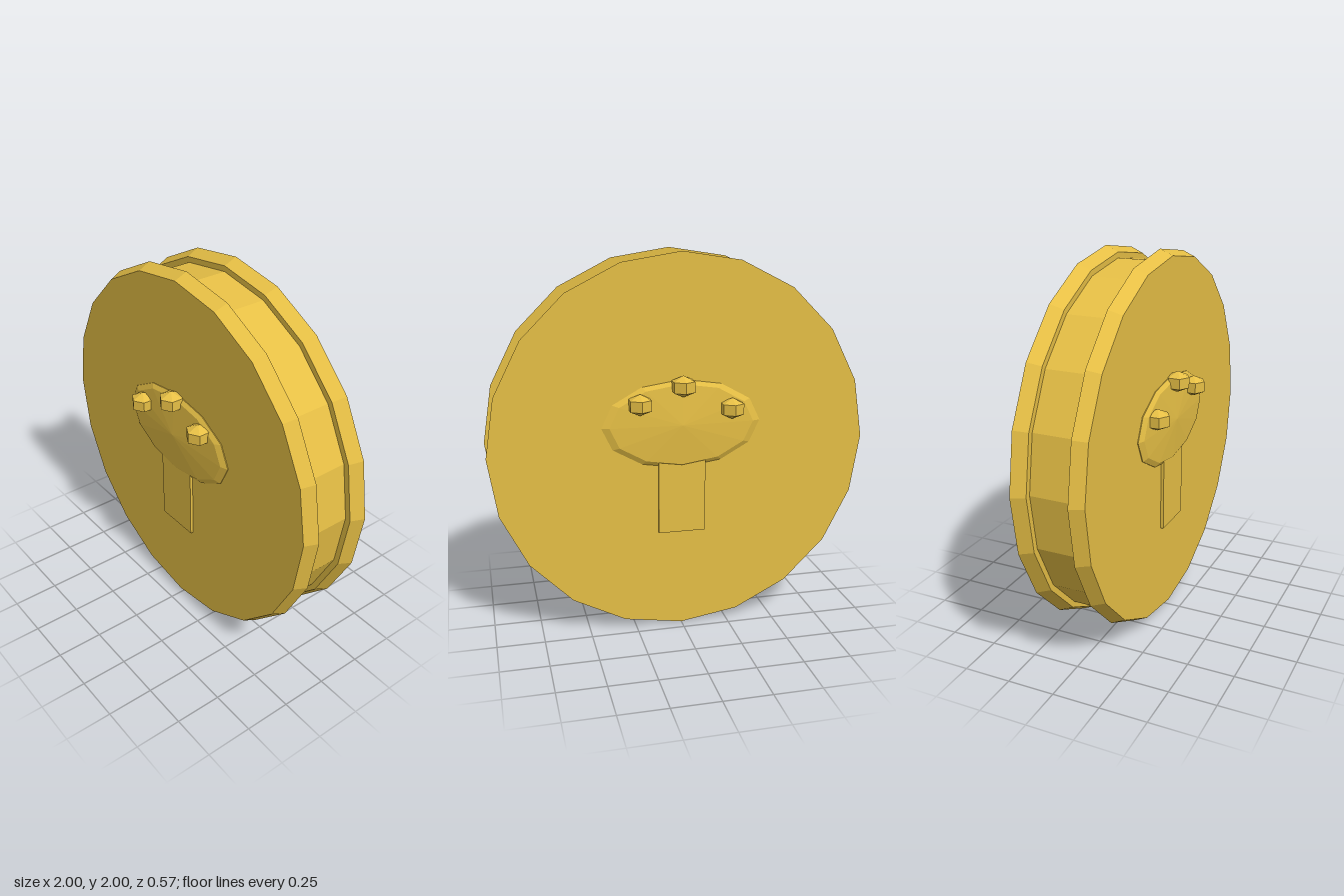
import * as THREE from 'three';

const gold = new THREE.MeshStandardMaterial({ color: 0xe6bf45, flatShading: true });

function part(name, geometry, parent, x = 0, y = 0, z = 0) {
  const mesh = new THREE.Mesh(geometry, gold);
  mesh.name = name;
  mesh.position.set(x, y, z);
  parent.add(mesh);
  return mesh;
}

// Twenty-sided disc with its axis along z
function disc(frontRadius, backRadius, depth) {
  return new THREE.CylinderGeometry(frontRadius, backRadius, depth, 20).rotateX(Math.PI / 2);
}

function lathe(points, sides) {
  return new THREE.LatheGeometry(points.map(([r, h]) => new THREE.Vector2(r, h)), sides);
}

export function createModel() {
  const model = new THREE.Group();
  model.name = 'coin';

  // Recessed core between two rims, both tapering towards the front
  part('core', disc(0.94, 0.94, 0.24), model, 0, 1, 0);
  part('frontRim', disc(0.97, 1, 0.07), model, 0, 1, 0.148);
  part('backRim', disc(0.97, 1, 0.07), model, 0, 1, -0.152);

  // Shallow oval dome and six-sided studs
  const dome = lathe([[0.42, 0.16], [0.42, 0.187], [0.38, 0.202], [0, 0.22]], 12)
    .rotateX(Math.PI / 2).scale(1, 0.56, 1);
  const stud = lathe([[0, -0.056], [0.063, -0.028], [0.063, 0.028], [0, 0.056]], 6);
  const stem = new THREE.BoxGeometry(0.25, 0.465, 0.05);
  const studSpots = [[-0.26, 1.2], [0, 1.328], [0.225, 1.243]];

  // The same mushroom emblem sits on both faces
  for (const side of [1, -1]) {
    const emblem = new THREE.Group();
    emblem.name = side > 0 ? 'frontMushroom' : 'backMushroom';
    if (side < 0) emblem.rotation.y = Math.PI;
    part('mushroomCap', dome, emblem, 0, 1.123, 0);
    part('mushroomStem', stem, emblem, 0, 0.7675, 0.174);
    for (const [x, y] of studSpots) part('capStud', stud, emblem, x * side, y, 0.22);
    model.add(emblem);
  }
  return model;
}
